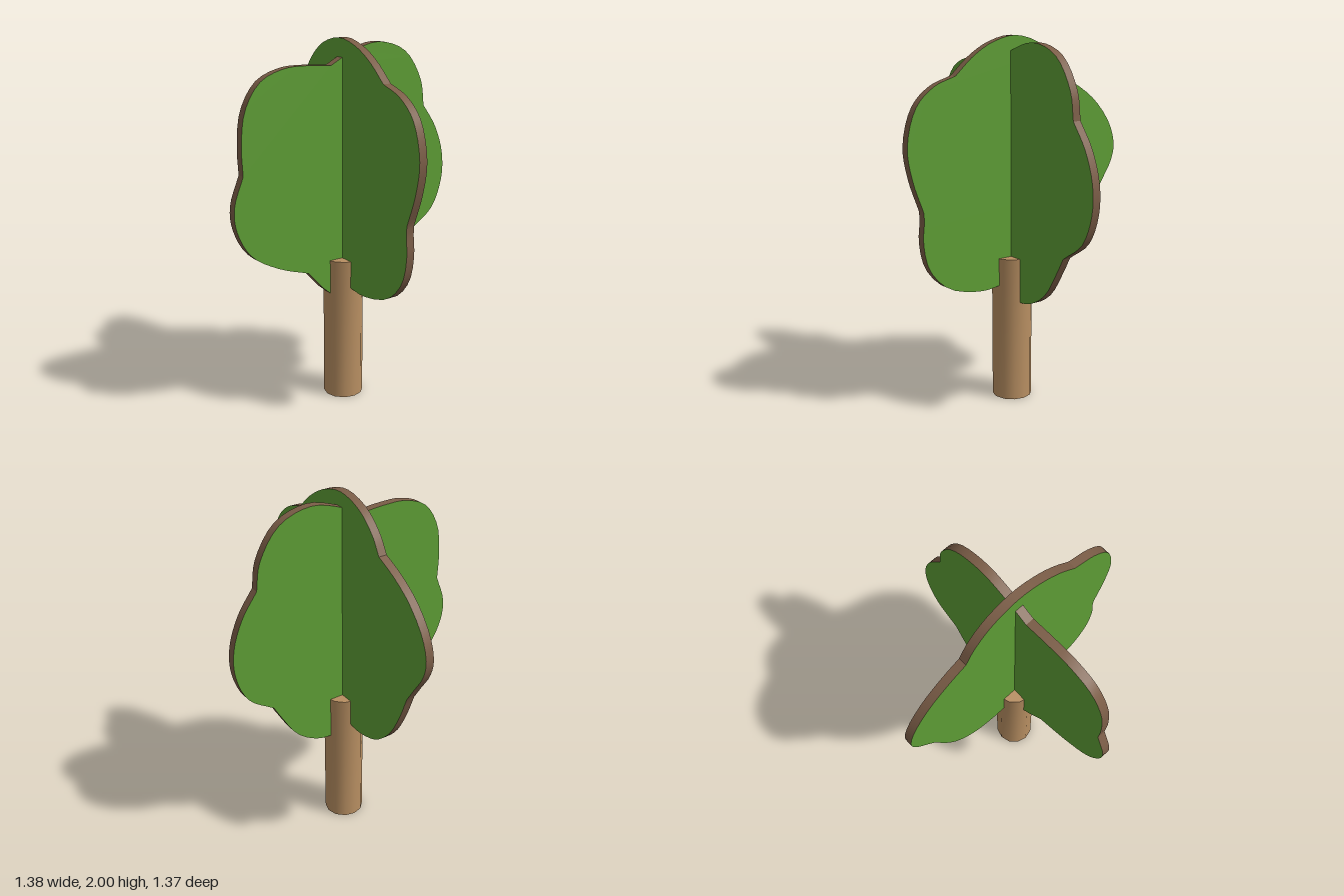
import * as THREE from 'three';
import { toCreasedNormals } from 'three/addons/utils/BufferGeometryUtils.js';

const AXIS_X = 0.031, THICKNESS = 0.047;

// Each lobe is a smooth curve; lobes meet in sharp notches.
const wideLobes = [
  [[-0.305, 1.77], [-0.25, 1.86], [-0.14, 1.955], [0.02, 2], [0.17, 1.967], [0.29, 1.9], [0.4, 1.805]],
  [[0.4, 1.805], [0.53, 1.757], [0.635, 1.66], [0.69, 1.47], [0.665, 1.3], [0.605, 1.13]],
  [[0.605, 1.13], [0.602, 1.08], [0.61, 0.97], [0.575, 0.82], [0.46, 0.7], [0.25, 0.647], [0.12, 0.66], [0.03, 0.68]],
  [[0.03, 0.68], [-0.08, 0.655], [-0.15, 0.648], [-0.3, 0.685], [-0.42, 0.79], [-0.5, 0.93], [-0.56, 1.085]],
  [[-0.56, 1.085], [-0.61, 1.165], [-0.675, 1.27], [-0.695, 1.36], [-0.66, 1.48], [-0.55, 1.62], [-0.42, 1.713], [-0.305, 1.77]],
];
const deepLobes = [
  [[0.095, 1.865], [-0.02, 1.92], [-0.205, 1.968], [-0.39, 1.91], [-0.505, 1.745], [-0.53, 1.6]],
  [[-0.53, 1.6], [-0.62, 1.47], [-0.677, 1.31], [-0.677, 1.155], [-0.61, 0.995], [-0.465, 0.89]],
  [[-0.465, 0.89], [-0.42, 0.81], [-0.32, 0.66], [-0.205, 0.585], [-0.115, 0.565], [0, 0.575], [0.11, 0.625], [0.245, 0.765]],
  [[0.245, 0.765], [0.43, 0.83], [0.59, 0.93], [0.67, 1.075], [0.68, 1.2], [0.625, 1.355]],
  [[0.625, 1.355], [0.63, 1.5], [0.605, 1.68], [0.515, 1.815], [0.375, 1.87], [0.245, 1.875], [0.095, 1.865]],
];

function foliagePanel(name, lobes, materials) {
  const outline = [];
  for (const lobe of lobes) {
    const curve = new THREE.CatmullRomCurve3(lobe.map(([x, y]) => new THREE.Vector3(x, y, 0)));
    curve.getPoints(20).slice(0, -1).forEach(p => outline.push(new THREE.Vector2(p.x, p.y)));
  }
  const geometry = new THREE.ExtrudeGeometry(new THREE.Shape(outline), { depth: THICKNESS, bevelEnabled: false });
  geometry.translate(0, 0, -THICKNESS / 2);
  const mesh = new THREE.Mesh(toCreasedNormals(geometry, 0.4), materials);
  mesh.name = name;
  return mesh;
}

export function createModel() {
  const leafGreen = new THREE.MeshStandardMaterial({ name: 'leafGreen', color: 0x5e9e35 });
  const edgeBrown = new THREE.MeshStandardMaterial({ name: 'edgeBrown', color: 0x7b5d47 });
  const trunkTan = new THREE.MeshStandardMaterial({ name: 'trunkTan', color: 0xb88f62 });

  const tree = new THREE.Group();
  tree.name = 'tree';

  // Trunk
  const trunk = new THREE.Mesh(
    toCreasedNormals(new THREE.CylinderGeometry(0.11, 0.11, 0.81, 12), 0.8), trunkTan);
  trunk.name = 'trunk';
  trunk.position.set(AXIS_X, 0.405, 0);
  tree.add(trunk);

  // Two crossed foliage panels: green faces, brown cut edges
  const skin = [leafGreen, edgeBrown];
  const wide = foliagePanel('wideFoliage', wideLobes, skin);
  const deep = foliagePanel('deepFoliage', deepLobes, skin);
  deep.rotation.y = -Math.PI / 2;
  deep.position.x = AXIS_X;
  tree.add(wide, deep);

  return tree;
}
